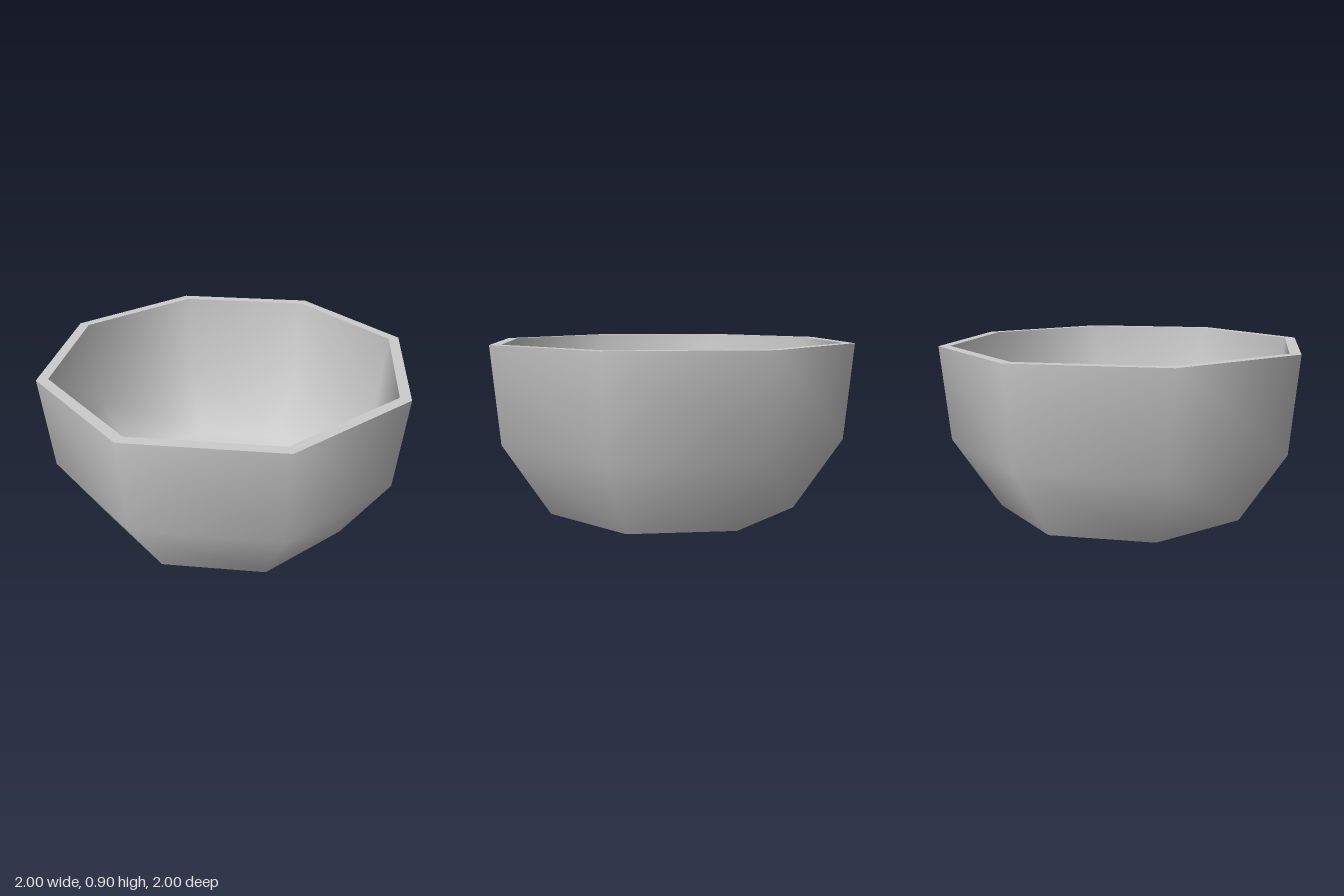
import * as THREE from 'three';

const SIDES = 8;

export function createModel() {
  const bowl = new THREE.Group();
  bowl.name = 'bowl';

  const grey = new THREE.MeshStandardMaterial({ color: 0xcccccc });
  grey.name = 'plain grey';

  function addPart(name, geometry, y = 0) {
    const mesh = new THREE.Mesh(geometry, grey);
    mesh.name = name;
    mesh.position.y = y;
    bowl.add(mesh);
  }

  // A smooth-shaded eight-sided surface turned from [radius, height] pairs
  const turned = (profile) =>
    new THREE.LatheGeometry(profile.map(([r, y]) => new THREE.Vector2(r, y)), SIDES);

  // Outer wall runs upward so it faces out; the lining runs downward so it faces in
  addPart('outerWall', turned([[0.707, 0], [0.957, 0.392], [1, 0.896]]));
  addPart('innerLining', turned([[0.94, 0.896], [0.9, 0.41], [0.68, 0.06], [0, 0.06]]));

  // Flat rim joining the two walls
  addPart('rim', new THREE.RingGeometry(0.94, 1, SIDES).rotateX(-Math.PI / 2), 0.896);

  // Flat underside
  addPart('base', new THREE.CircleGeometry(0.707, SIDES).rotateX(Math.PI / 2));

  return bowl;
}
